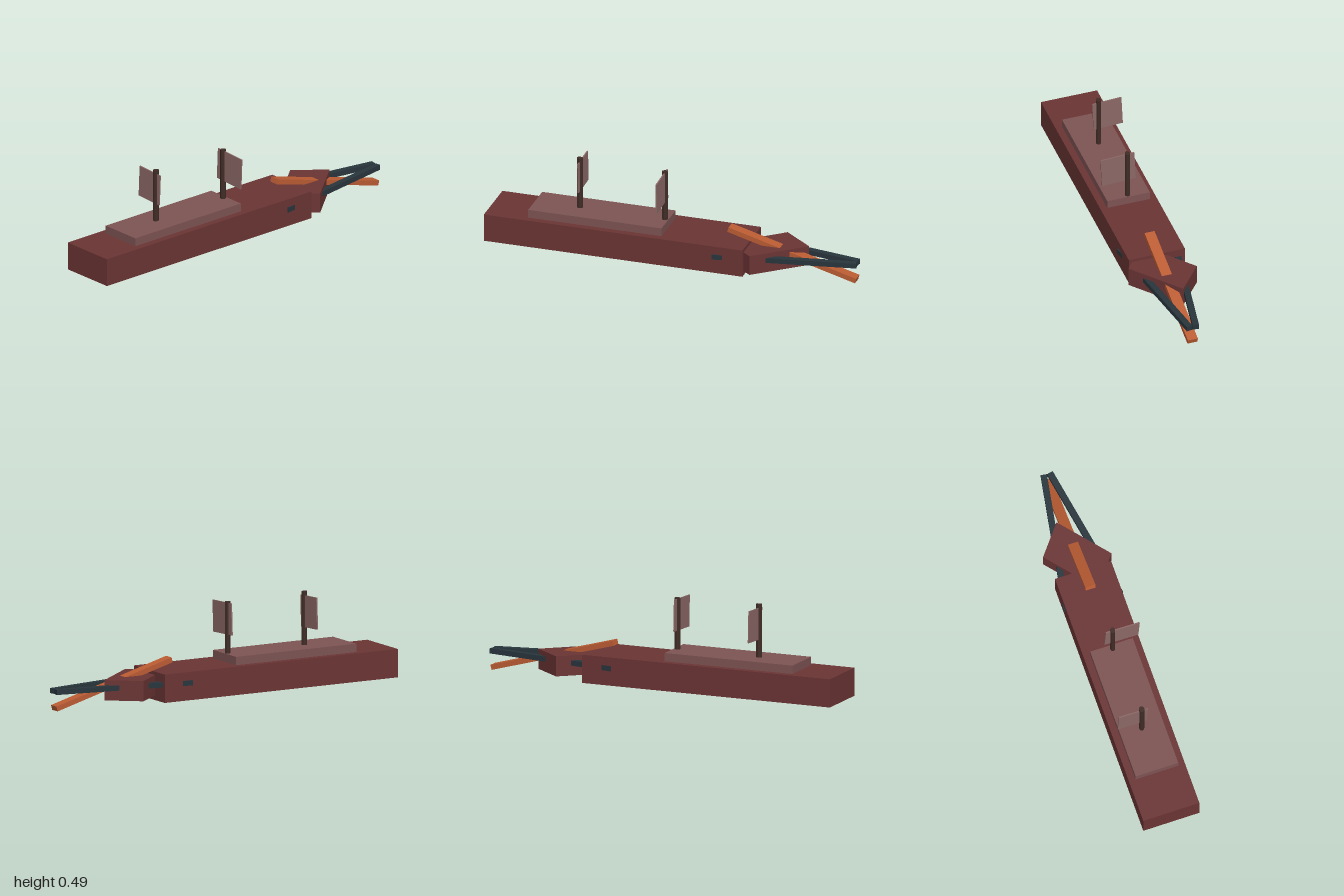
import * as THREE from 'three';

const mat = (color) => new THREE.MeshStandardMaterial({ color, flatShading: true });

export function createModel() {
  const model = new THREE.Group();
  const red = mat(0x6b3434), deckMat = mat(0x7d5353), wood = mat(0x402c26);
  const cloth = mat(0x8b6866), orange = mat(0xbb5c33), steel = mat(0x28353c);

  const add = (name, geometry, material, x, y, z) => {
    const mesh = new THREE.Mesh(geometry, material);
    mesh.name = name;
    mesh.position.set(x, y, z);
    model.add(mesh);
    return mesh;
  };
  const box = (name, w, h, d, material, x, y, z) =>
    add(name, new THREE.BoxGeometry(w, h, d), material, x, y, z);

  // Hull and raised deck
  box('hull', 0.308, 0.15, 1.415, red, 0, 0.085, 0.2925);
  box('deck', 0.234, 0.05, 0.73, deckMat, 0, 0.179, 0.405);

  // Skewed block at the far end, drawn in plan and extruded upwards
  const plan = new THREE.Shape([[-0.043, 0.715], [-0.172, 0.555], [0.043, 0.3], [0.172, 0.46]]
    .map(([x, y]) => new THREE.Vector2(x, y)));
  const block = new THREE.ExtrudeGeometry(plan, { depth: 0.107, bevelEnabled: false });
  block.rotateX(-Math.PI / 2);
  add('endBlock', block, red, 0, 0.035, 0);

  // Masts with slightly tilted sails
  const masts = [
    { name: 'front', z: 0.525, top: 0.487, sailX: -0.049, sailW: 0.16 },
    { name: 'rear', z: 0.06, top: 0.477, sailX: 0.051, sailW: 0.186 },
  ];
  for (const { name, z, top, sailX, sailW } of masts) {
    const h = top - 0.16;
    const mast = add(name + 'Mast', new THREE.CylinderGeometry(0.0165, 0.0165, h, 8), wood, 0, 0.16 + h / 2, z);
    mast.scale.x = 0.85;
    box(name + 'Sail', sailW, 0.168, 0.007, cloth, sailX, 0.384, z).rotation.z = -0.048;
  }

  // Sloping spar through the end block
  box('spar', 0.055, 0.027, 0.725, orange, 0, 0.11, -0.643).rotation.x = -0.27;

  // Pair of struts meeting in a point
  for (const s of [-1, 1]) {
    const strut = box(s > 0 ? 'leftStrut' : 'rightStrut', 0.033, 0.027, 0.759, steel, s * 0.082, 0.102, -0.621);
    strut.rotation.y = s * 0.172;
  }
  return model;
}
